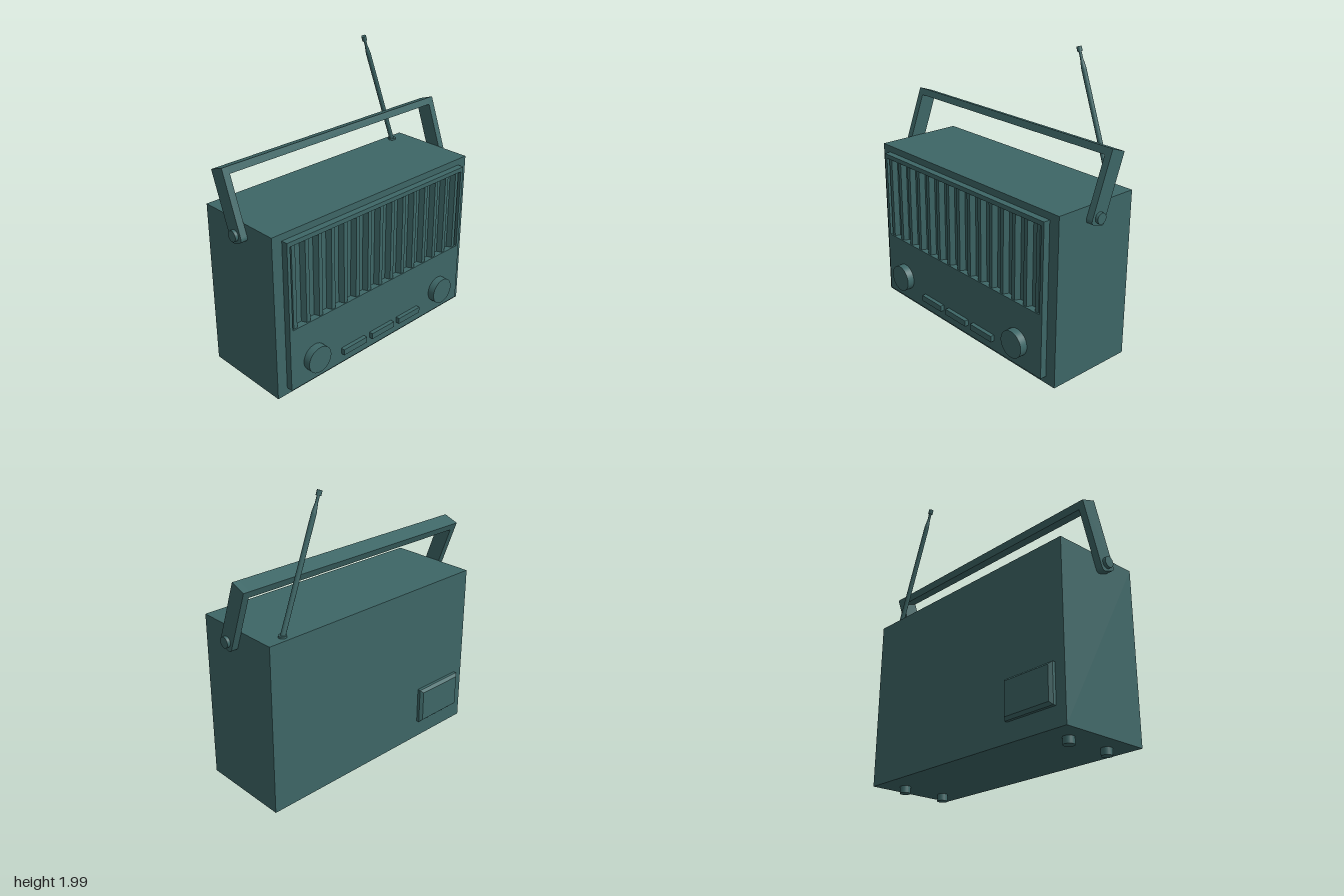
import * as THREE from 'three';

const material = new THREE.MeshStandardMaterial({ color: 0x3d6666 });

export function createModel() {
  const radio = new THREE.Group();
  radio.name = 'portableRadio';

  const add = (name, geometry, x = 0, y = 0, z = 0, parent = radio) => {
    const mesh = new THREE.Mesh(geometry, material);
    mesh.name = name;
    mesh.position.set(x, y, z);
    parent.add(mesh);
    return mesh;
  };
  const polygon = (points) => new THREE.Shape(points.map(([x, y]) => new THREE.Vector2(x, y)));
  const rectangle = (x0, y0, x1, y1) => polygon([[x0, y0], [x1, y0], [x1, y1], [x0, y1]]);
  const extrude = (shape, depth) => new THREE.ExtrudeGeometry(shape, { depth, bevelEnabled: false });

  // Cabinet
  add('body', new THREE.BoxGeometry(1.724, 1.135, 0.62), 0, 0.6125, -0.03);

  // Front panel with the grille opening
  const panel = rectangle(-0.788, 0.095, 0.788, 1.135);
  panel.holes.push(rectangle(-0.765, 0.53, 0.765, 1.105));
  add('frontPanel', extrude(panel, 0.045), 0, 0, 0.28);

  // Upright slats with sloped sides
  const slat = extrude(polygon([[-0.028, 0], [0.028, 0], [0.014, 0.036], [-0.014, 0.036]]), 0.575);
  slat.rotateX(-Math.PI / 2).scale(1, 1, -1);
  // mirroring in z reverses the winding, so swap two corners of each triangle
  const p = slat.attributes.position;
  const a = new THREE.Vector3(), b = new THREE.Vector3();
  for (let i = 0; i < p.count; i += 3) {
    a.fromBufferAttribute(p, i);
    b.fromBufferAttribute(p, i + 1);
    p.setXYZ(i, b.x, b.y, b.z);
    p.setXYZ(i + 1, a.x, a.y, a.z);
  }
  slat.computeVertexNormals();
  for (let i = 0; i < 15; i++) add('grilleSlat', slat, -0.735 + i * 0.105, 0.53, 0.28);

  // Tuning and volume knobs
  const knob = new THREE.CylinderGeometry(0.092, 0.092, 0.052, 40).rotateX(Math.PI / 2);
  add('tuningKnob', knob, -0.592, 0.258, 0.35);
  add('volumeKnob', knob, 0.572, 0.258, 0.35);

  // Push buttons
  for (const x of [-0.262, -0.003, 0.256]) {
    add('pushButton', new THREE.BoxGeometry(0.207, 0.042, 0.03), x, 0.186, 0.338);
  }

  // Feet
  for (const x of [-0.727, 0.727]) {
    for (const z of [-0.182, 0.13]) {
      add('foot', new THREE.CylinderGeometry(0.035, 0.035, 0.046, 24), x, 0.023, z);
    }
  }

  // Battery cover with bevelled rim
  const cover = new THREE.ExtrudeGeometry(rectangle(-0.172, -0.107, 0.172, 0.107), {
    depth: 0.02, bevelThickness: 0.018, bevelSize: 0.018, bevelSegments: 1,
  });
  add('batteryCover', cover, -0.6, 0.295, -0.36);

  // Tilted carrying handle, turning about its pivots
  const handle = new THREE.Group();
  handle.name = 'handle';
  handle.position.set(0, 1.11, 0);
  handle.rotation.x = -0.347;
  radio.add(handle);
  const r = 0.03, w = 0.055, low = -0.05;
  const leg = new THREE.Shape();
  leg.moveTo(w, 0.405);
  leg.lineTo(-w, 0.405);
  leg.lineTo(-w, low + r);
  leg.quadraticCurveTo(-w, low, -w + r, low);
  leg.lineTo(w - r, low);
  leg.quadraticCurveTo(w, low, w, low + r);
  const legGeometry = extrude(leg, 0.046).rotateY(Math.PI / 2);
  add('handleLegLeft', legGeometry, 0.866, 0, 0, handle);
  add('handleLegRight', legGeometry, -0.912, 0, 0, handle);
  add('handleGrip', new THREE.BoxGeometry(1.734, 0.046, 2 * w), 0, 0.382, 0, handle);
  const pivot = new THREE.CylinderGeometry(0.036, 0.036, 0.076, 24).rotateZ(Math.PI / 2);
  for (const side of [-1, 1]) add('handlePivot', pivot, side * 0.895, 0, 0, handle);

  // Telescopic antenna leaning to the right
  add('antennaBase', new THREE.CylinderGeometry(0.026, 0.026, 0.014, 24), 0.727, 1.186, -0.29);
  const antenna = new THREE.Group();
  antenna.name = 'antenna';
  antenna.position.set(0.727, 1.18, -0.29);
  antenna.rotation.z = 0.352;
  radio.add(antenna);
  const tube = (name, bottom, top, y0, y1) =>
    add(name, new THREE.CylinderGeometry(top, bottom, y1 - y0, 16), 0, (y0 + y1) / 2, 0, antenna);
  tube('antennaLowerTube', 0.016, 0.016, 0, 0.73);
  tube('antennaTaper', 0.016, 0.009, 0.73, 0.79);
  tube('antennaUpperTube', 0.009, 0.009, 0.79, 0.835);
  tube('antennaTip', 0.016, 0.016, 0.83, 0.862);

  return radio;
}
